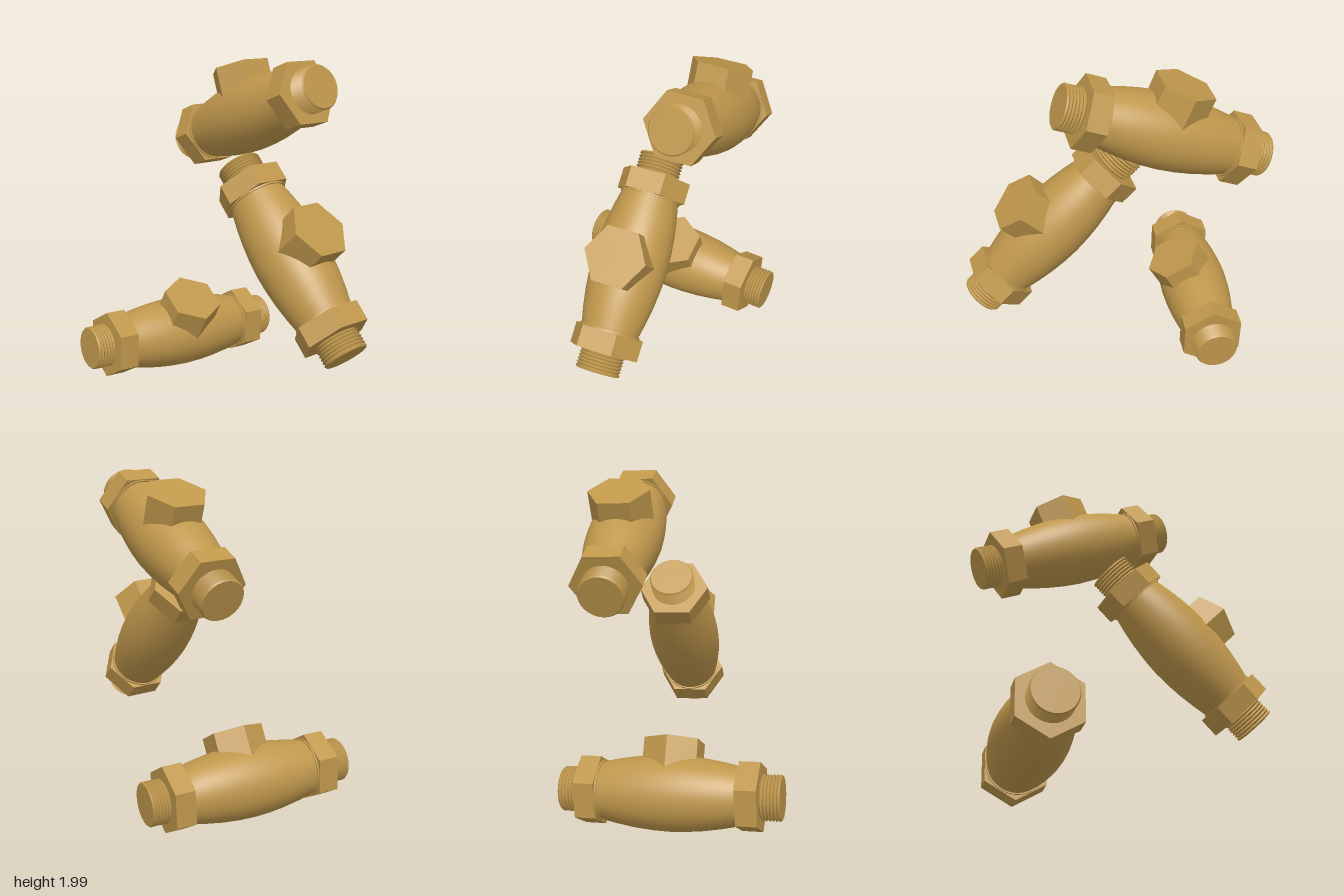
import * as THREE from 'three';
import { toCreasedNormals } from 'three/addons/utils/BufferGeometryUtils.js';

const bronze = new THREE.MeshStandardMaterial({ color: 0xbf974c });
bronze.name = 'bronze';

function part(name, geometry) {
  const mesh = new THREE.Mesh(geometry, bronze);
  mesh.name = name;
  return mesh;
}

// Turned part whose axis runs along +x; points are [position, radius]
function turned(points, crease) {
  const profile = points.map(([t, r]) => new THREE.Vector2(r, t));
  const g = new THREE.LatheGeometry(profile, 48);
  g.rotateZ(-Math.PI / 2);
  return toCreasedNormals(g, crease);
}

// Hexagonal block with crisp faces, axis along y, corners at +-z
function hexBlock(radius, from, to) {
  const g = new THREE.CylinderGeometry(radius, radius, to - from, 6);
  g.translate(0, (from + to) / 2, 0);
  return toCreasedNormals(g, 0.3);
}

// Bulging barrel between the two nuts
const bodyGeometry = turned([
  [-0.42, 0.16], [-0.3, 0.185], [-0.2, 0.201], [-0.1, 0.211], [0, 0.215],
  [0.1, 0.211], [0.2, 0.201], [0.3, 0.185], [0.42, 0.16],
], 1);

// Raised ring on the inner face of each nut
const collarGeometry = turned([[0.39, 0.14], [0.39, 0.174], [0.41, 0.174]], 0.5);

const nutGeometry = hexBlock(0.205, 0.4, 0.52).rotateZ(-Math.PI / 2);
const bonnetGeometry = hexBlock(0.18, 0.1, 0.3);

// Threaded spigot: saw-tooth ridges closed by a flat end
const threadPoints = [[0.5, 0.118]];
const ridges = 6, pitch = 0.115 / ridges;
for (let i = 0; i < ridges; i++) {
  const t = 0.52 + i * pitch;
  threadPoints.push([t, 0.118], [t + pitch / 2, 0.129]);
}
threadPoints.push([0.635, 0.122], [0.635, 0]);
const threadGeometry = turned(threadPoints, 0.5);

// One fitting: axis follows `along`, bonnet points towards `up`
function makeFitting(name, centre, along, up) {
  const fitting = new THREE.Group();
  fitting.name = name;
  fitting.add(part('body', bodyGeometry), part('bonnet', bonnetGeometry));

  for (const [label, turn] of [['firstEnd', 0], ['secondEnd', Math.PI]]) {
    const end = new THREE.Group();
    end.name = label;
    end.add(
      part('collar', collarGeometry),
      part('hexNut', nutGeometry),
      part('threadedSpigot', threadGeometry),
    );
    end.rotation.y = turn;
    fitting.add(end);
  }

  const x = new THREE.Vector3(...along).normalize();
  const z = new THREE.Vector3().crossVectors(x, new THREE.Vector3(...up)).normalize();
  const y = new THREE.Vector3().crossVectors(z, x);
  fitting.quaternion.setFromRotationMatrix(new THREE.Matrix4().makeBasis(x, y, z));
  fitting.position.set(...centre);
  return fitting;
}

export function createModel() {
  const model = new THREE.Group();
  model.name = 'pipeFittings';
  model.add(
    makeFitting('upperFitting', [-0.07, 1.625, -0.18], [1.08, 0.48, 0.46], [-0.11, 0.285, -0.06]),
    makeFitting('middleFitting', [0.405, 0.94, 0.285], [0.82, -0.88, 0.36], [0.2, 0.2, 0.07]),
    makeFitting('lowerFitting', [-0.495, 0.23, -0.005], [-0.59, 0.075, 1.13], [0.13, 0.25, 0.055]),
  );
  return model;
}
